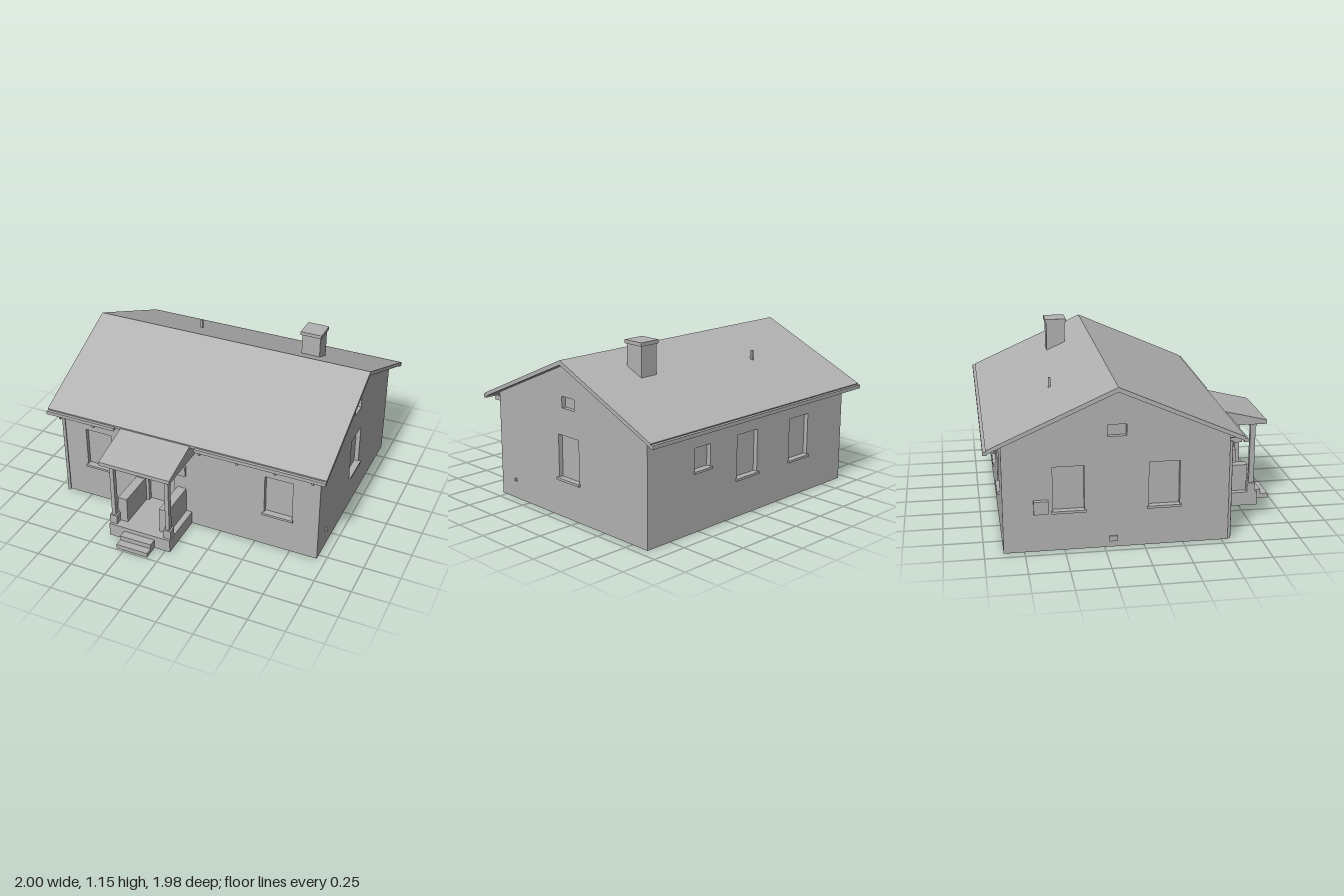
import * as THREE from 'three';

const gray = new THREE.MeshStandardMaterial({ color: 0xb2b2b2, side: THREE.DoubleSide });
gray.name = 'plaster gray';

export function createModel() {
  const house = new THREE.Group();
  house.name = 'house';

  const add = (name, geometry, parent = house) => {
    const mesh = new THREE.Mesh(geometry, gray);
    mesh.name = name;
    parent.add(mesh);
    return mesh;
  };
  // Box given by its limits on each axis
  const box = (name, x0, x1, y0, y1, z0, z1, parent = house) =>
    add(name, new THREE.BoxGeometry(x1 - x0, y1 - y0, z1 - z0), parent)
      .position.set((x0 + x1) / 2, (y0 + y1) / 2, (z0 + z1) / 2);
  // Side profile of [z, y] points extruded along x
  const profile = (name, points, x0, x1) => {
    const shape = new THREE.Shape(points.map(([z, y]) => new THREE.Vector2(-z, y)));
    const geometry = new THREE.ExtrudeGeometry(shape, { depth: x1 - x0, bevelEnabled: false });
    geometry.rotateY(Math.PI / 2).translate(x0, 0, 0);
    return add(name, geometry);
  };

  // Wall facing local +z, with recessed openings [u0, u1, y0, y1, hasSill]
  const wall = (name, outline, openings, position, angle) => {
    const group = new THREE.Group();
    group.name = name;
    const shape = new THREE.Shape(outline.map(([u, y]) => new THREE.Vector2(u, y)));
    for (const [u0, u1, y0, y1, sill] of openings) {
      const hole = [[u0, y0], [u0, y1], [u1, y1], [u1, y0]];
      shape.holes.push(new THREE.Path(hole.map(([u, y]) => new THREE.Vector2(u, y))));
      // Open-fronted box makes the reveals and the pane
      const recess = new THREE.BoxGeometry(u1 - u0, y1 - y0, 0.03);
      const index = Array.from(recess.index.array);
      index.splice(24, 6);
      recess.setIndex(index);
      recess.clearGroups();
      recess.translate((u0 + u1) / 2, (y0 + y1) / 2, -0.015);
      add('recessedOpening', recess, group);
      if (sill) box('windowSill', u0 - 0.01, u1 + 0.01, y0 - 0.012, y0 + 0.004, -0.028, 0.016, group);
    }
    add(name + 'Surface', new THREE.ShapeGeometry(shape), group);
    group.position.set(...position);
    group.rotation.y = angle;
    house.add(group);
  };

  // Walls
  const W = 0.94, front = 0.54, back = -0.88, ridge = -0.17;
  const underside = z => 1.025 - 0.44 * Math.abs(z - ridge);
  const long = top => [[-W, 0], [W, 0], [W, top], [-W, top]];
  const gable = s => [[-s * front, 0], [-s * back, 0], [-s * back, underside(back)],
    [-s * ridge, underside(ridge)], [-s * front, underside(front)]];
  wall('frontWall', long(underside(front)), [
    [-0.76, -0.565, 0.26, 0.55, true],
    [-0.29, -0.095, 0.095, 0.49, false],
    [0.56, 0.755, 0.26, 0.55, true]], [0, 0, front], 0);
  wall('backWall', long(underside(back)), [
    [-0.54, -0.4, 0.4, 0.55, true],
    [-0.15, 0.045, 0.26, 0.55, true],
    [0.37, 0.565, 0.26, 0.55, true]], [0, 0, back], Math.PI);
  wall('leftGable', gable(1), [
    [0.07, 0.265, 0.26, 0.55, true],
    [0.11, 0.23, 0.73, 0.805, false]], [W, 0, 0], Math.PI / 2);
  wall('rightGable', gable(-1), [
    [-0.57, -0.375, 0.26, 0.55, true],
    [0.03, 0.225, 0.26, 0.55, true],
    [-0.23, -0.11, 0.73, 0.805, false]], [-W, 0, 0], -Math.PI / 2);

  // Main roof
  profile('mainRoof', [[ridge, 1.055], [0.62, 0.703], [0.615, 0.678],
    [ridge, 1.025], [-0.96, 0.678], [-0.97, 0.7]], -1, 1);

  // Gutters, open in front of the porch
  for (const [x0, x1] of [[-1, -0.485], [0.1, 1]]) box('frontGutter', x0, x1, 0.668, 0.692, 0.612, 0.637);
  box('backGutter', -1, 1, 0.668, 0.692, -0.988, -0.962);

  // Eave brackets and downpipe
  for (const x of [-0.91, -0.655, 0.13, 0.395, 0.655, 0.91])
    box('eaveBracket', x - 0.007, x + 0.007, 0.64, 0.672, front, 0.62);
  const pipe = new THREE.CylinderGeometry(0.011, 0.011, 0.65, 8);
  add('downpipe', pipe).position.set(-0.925, 0.328, 0.551);

  // Chimney and vent pipe
  box('chimney', 0.46, 0.59, 0.86, 1.126, -0.465, -0.335);
  box('chimneyCap', 0.45, 0.6, 1.126, 1.15, -0.475, -0.325);
  box('ventPipe', -0.39, -0.375, 0.86, 0.96, -0.535, -0.52);

  // Porch roof
  profile('porchRoof', [[0.92, 0.59], [0.92, 0.617], [0.62, 0.692], [0.5, 0.7], [0.5, 0.59]], -0.442, 0.065);

  // Porch floor and steps
  box('porchFloor', -0.415, 0.035, 0, 0.095, front, 0.88);
  box('upperStep', -0.305, -0.078, 0, 0.065, 0.88, 0.935);
  box('lowerStep', -0.305, -0.078, 0, 0.032, 0.88, 0.988);

  // Porch posts with bases and capitals
  for (const x of [-0.39, 0.008]) {
    box('porchPost', x - 0.014, x + 0.014, 0.095, 0.59, 0.82, 0.855);
    box('postBase', x - 0.026, x + 0.026, 0.095, 0.16, 0.808, 0.864);
    box('postCapital', x - 0.021, x + 0.021, 0.565, 0.59, 0.815, 0.86);
  }

  // Porch side parapets
  box('rightParapet', -0.375, -0.31, 0.095, 0.28, front, 0.815);
  box('leftParapet', -0.07, -0.005, 0.095, 0.28, front, 0.815);

  // Wall fittings
  box('letterBox', -0.375, -0.32, 0.275, 0.34, front, 0.558);
  box('wallBox', -0.052, -0.003, 0.39, 0.465, front, 0.56);
  box('meterBox', -0.97, -W, 0.255, 0.34, -0.69, -0.6);
  box('rightTap', -0.95, -W, 0.04, 0.075, -0.22, -0.17);
  box('leftTap', W, 0.952, 0.122, 0.142, 0.38, 0.396);

  return house;
}
